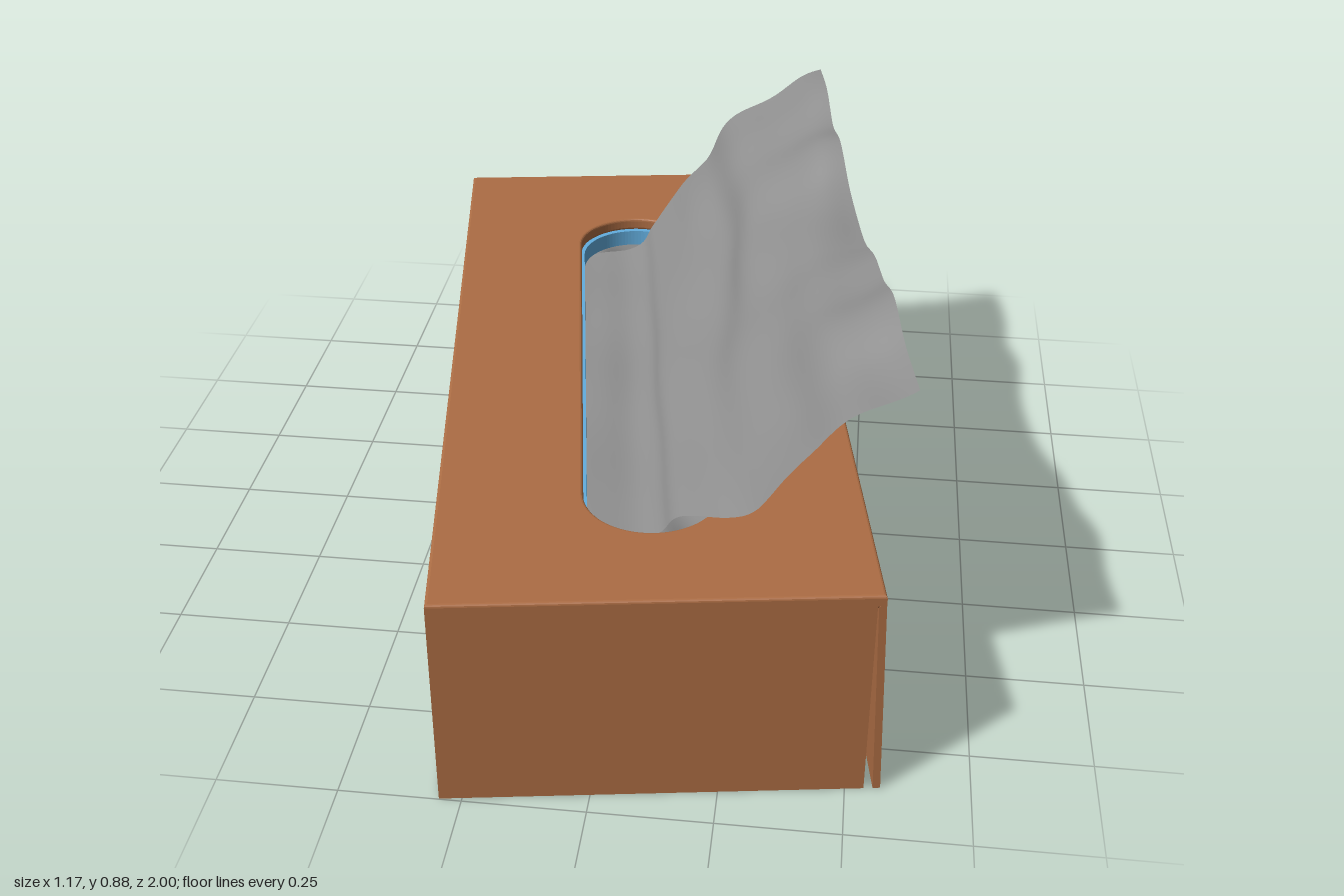
import * as THREE from 'three';

const brown = new THREE.MeshStandardMaterial({ name: 'brown cover', color: 0xac6d44 });
const blue = new THREE.MeshStandardMaterial({ name: 'blue carton', color: 0x63aede });
const grey = new THREE.MeshStandardMaterial({ name: 'grey tissue', color: 0x8e8e8e, side: THREE.DoubleSide });

const HEIGHT = 0.48, LEFT = -0.433, RIGHT = 0.427, HALF_LEN = 0.943, WALL = 0.015;

function add(parent, name, geometry, material, x = 0, y = 0, z = 0) {
  const mesh = new THREE.Mesh(geometry, material);
  mesh.name = name;
  mesh.position.set(x, y, z);
  parent.add(mesh);
  return mesh;
}

// Box given by its min and max corners
function block(parent, name, material, a, b) {
  const size = b.map((v, i) => v - a[i]);
  return add(parent, name, new THREE.BoxGeometry(...size), material, ...b.map((v, i) => (v + a[i]) / 2));
}

// Horizontal panel with a stadium-shaped slot
function slottedPanel(x0, x1, halfLen, thick, radius, bevel) {
  const b = bevel, shape = new THREE.Shape();
  shape.moveTo(x0 + b, -halfLen + b);
  shape.lineTo(x1 - b, -halfLen + b);
  shape.lineTo(x1 - b, halfLen - b);
  shape.lineTo(x0 + b, halfLen - b);
  shape.closePath();
  const r = radius + b, straight = 0.557, slot = new THREE.Path();
  slot.absarc(0, -0.03 + straight, r, 0, Math.PI, false);
  slot.absarc(0, -0.03 - straight, r, Math.PI, Math.PI * 2, false);
  slot.closePath();
  shape.holes.push(slot);
  const geo = new THREE.ExtrudeGeometry(shape, {
    depth: thick - 2 * b, bevelEnabled: b > 0, bevelSize: b, bevelThickness: b, bevelSegments: 3, curveSegments: 24,
  });
  geo.translate(0, 0, b);
  return geo.rotateX(-Math.PI / 2);
}

// Soft crumple pattern shared by the tissue sheets
function crumple(u, z) {
  return 0.008 * Math.sin(7 * z + 5 * u) * Math.sin(7 * u + 0.8)
    + 0.004 * Math.sin(15 * z - 8 * u + 1.3)
    + 0.007 * Math.sin(23 * u + 2 * Math.sin(3.1 * z));
}

// Raised tissue: a curved profile swept along the slot, flaring above it
function raisedTissue() {
  const profile = new THREE.CatmullRomCurve3([
    [-0.15, 0.405], [-0.09, 0.412], [-0.02, 0.42], [0.02, 0.445], [0.045, 0.485], [0.13, 0.55],
    [0.2, 0.62], [0.265, 0.71], [0.34, 0.775], [0.42, 0.82], [0.478, 0.845],
  ].map(([x, y]) => new THREE.Vector3(x, y, 0)));
  // Height offsets of the free edge, from back to front
  const edge = new THREE.SplineCurve([
    0.022, 0.022, -0.015, 0, -0.04, -0.052, -0.045, -0.01, 0, 0.03, 0.005, 0.005,
  ].map((v, i) => new THREE.Vector2(i, v)));
  const geo = new THREE.PlaneGeometry(1, 1, 110, 70);
  const pos = geo.attributes.position;
  for (let i = 0; i < pos.count; i++) {
    const s = pos.getX(i) + 0.5, t = pos.getY(i) + 0.5;
    const p = profile.getPointAt(t), tan = profile.getTangentAt(t);
    const flare = THREE.MathUtils.smoothstep(t, 0.2, 0.52);
    const halfWidth = 0.635 + 0.112 * flare + 0.004 * Math.sin(t * 21 + s * 3);
    const z = (s * 2 - 1) * halfWidth + 0.032 + 0.018 * flare;
    const free = THREE.MathUtils.smoothstep(t, 0.3, 0.6);
    const lean = 0.022 * Math.sin(Math.PI * Math.min(1, Math.max(0, (t - 0.3) / 0.7))) * (1 - 2 * s);
    const n = lean + crumple(t, z) * (0.4 + 0.6 * free);
    const lift = edge.getPoint(s).y * Math.pow(Math.max(0, (t - 0.4) / 0.6), 1.5);
    pos.setXYZ(i, p.x - tan.y * n, p.y + tan.x * n + lift, z);
  }
  geo.computeVertexNormals();
  return geo;
}

// Loose top layer of the tissues left inside, more crumpled at the slot ends
function lyingTissue() {
  const geo = new THREE.PlaneGeometry(0.7, 1.7, 60, 110).rotateX(-Math.PI / 2);
  const pos = geo.attributes.position;
  for (let i = 0; i < pos.count; i++) {
    const x = pos.getX(i), z = pos.getZ(i);
    const end = THREE.MathUtils.smoothstep(Math.abs(z - 0.03), 0.5, 0.62);
    pos.setY(i, 0.37 + 0.8 * crumple(x * 2, z * 1.5) + 0.014 * end * Math.sin(38 * x + 12 * z));
  }
  geo.computeVertexNormals();
  return geo;
}

export function createModel() {
  const model = new THREE.Group();
  model.name = 'tissueBox';
  const box = new THREE.Group();
  box.name = 'turnedBox';
  box.position.x = -0.013;
  box.rotation.y = 0.155;
  model.add(box);

  // Cover: top with slot and three fixed walls that run up to its rounded edge
  const top = HEIGHT - 0.03, wallTop = HEIGHT - 0.006, innerRight = 0.41;
  add(box, 'coverTop', slottedPanel(LEFT, RIGHT, HALF_LEN, 0.03, 0.138, 0.006), brown, 0, top, 0);
  block(box, 'coverLeftWall', brown, [LEFT, 0, -HALF_LEN], [LEFT + WALL, wallTop, HALF_LEN]);
  for (const side of [-1, 1]) {
    const z = [side * HALF_LEN, side * (HALF_LEN - WALL)].sort((a, b) => a - b);
    block(box, side > 0 ? 'coverFrontWall' : 'coverBackWall', brown, [LEFT, 0, z[0]], [innerRight, wallTop, z[1]]);
  }

  // Flap hinged under the top, standing slightly open at the bottom
  const hinge = top + 0.006;
  const flapGeo = new THREE.BoxGeometry(WALL, hinge, HALF_LEN * 2).translate(-WALL / 2, -hinge / 2, 0);
  add(box, 'coverFlap', flapGeo, brown, RIGHT, hinge, 0).rotation.z = 0.036;

  // Inner carton with its own slotted top
  const x0 = LEFT + WALL + 0.004, x1 = innerRight - 0.01, z1 = HALF_LEN - WALL - 0.006;
  block(box, 'cartonBottom', blue, [x0, 0.002, -z1], [x1, 0.02, z1]);
  block(box, 'cartonLeftWall', blue, [x0, 0.02, -z1], [x0 + 0.01, 0.41, z1]);
  block(box, 'cartonRightWall', blue, [x1 - 0.01, 0.02, -z1], [x1, 0.41, z1]);
  block(box, 'cartonFrontWall', blue, [x0 + 0.01, 0.02, z1 - 0.01], [x1 - 0.01, 0.41, z1]);
  block(box, 'cartonBackWall', blue, [x0 + 0.01, 0.02, -z1], [x1 - 0.01, 0.41, -z1 + 0.01]);
  add(box, 'cartonTop', slottedPanel(x0, x1, z1, 0.039, 0.131, 0), blue, 0, 0.41, 0);

  // Tissues
  add(box, 'lyingTissue', lyingTissue(), grey);
  add(box, 'raisedTissue', raisedTissue(), grey);
  return model;
}
